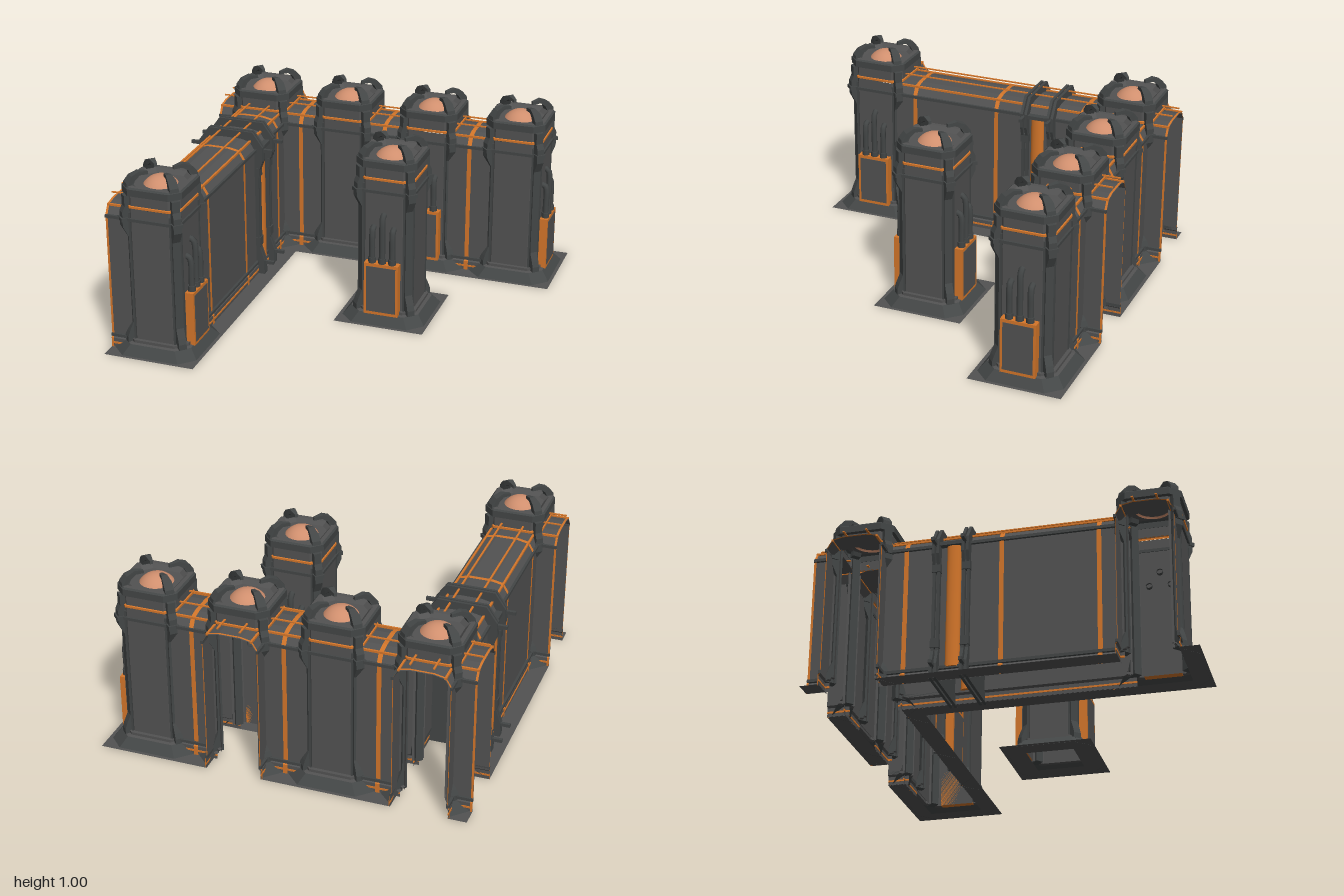
import * as THREE from 'three';

// The modules are hollow and open, so every surface shows from both sides
const mat = (name, color) => {
  const m = new THREE.MeshStandardMaterial({ color, side: THREE.DoubleSide });
  m.name = name;
  return m;
};

export function createModel() {
  const model = new THREE.Group();
  model.name = 'fortressWalls';
  const grey = mat('wall grey', 0x525252);
  const dark = mat('dark metal', 0x434646);
  const orange = mat('orange trim', 0xd4762a);
  const copper = mat('copper dome', 0xd08f6e);

  const add = (parent, name, geo, m, x = 0, y = 0, z = 0) => {
    const mesh = new THREE.Mesh(geo, m);
    mesh.name = name;
    mesh.position.set(x, y, z);
    parent.add(mesh);
    return mesh;
  };
  const box = (parent, name, m, w, h, d, x, y, z) =>
    add(parent, name, new THREE.BoxGeometry(w, h, d), m, x, y, z);
  const fromTriangles = (pos) => {
    const g = new THREE.BufferGeometry();
    g.setAttribute('position', new THREE.Float32BufferAttribute(pos, 3));
    g.computeVertexNormals();
    return g;
  };
  const quad = (out, a, b, c, d) => out.push(...a, ...b, ...c, ...a, ...c, ...d);

  // Stacked chamfered squares [half, chamfer, y]; sides in `open` (0 +x, 1 +z, 2 -x, 3 -z) stay open
  const shell = (levels, open = []) => {
    const loops = levels.map(([h, c, y]) => {
      const pts = [];
      let a = [h, c - h], b = [h, h - c];
      for (let k = 0; k < 4; k++) {
        pts.push([a[0], y, a[1]], [b[0], y, b[1]]);
        a = [-a[1], a[0]];
        b = [-b[1], b[0]];
      }
      return pts;
    });
    const out = [];
    for (let l = 0; l + 1 < loops.length; l++) {
      for (let i = 0; i < 8; i++) {
        if (i % 2 === 0 && open.includes(i / 2)) continue;
        const j = (i + 1) % 8;
        quad(out, loops[l][i], loops[l + 1][i], loops[l + 1][j], loops[l][j]);
      }
    }
    return fromTriangles(out);
  };

  // Mirrored outline swept along z, open at both ends
  const mirrored = (half) => [...half, ...half.map(([u, y]) => [-u, y]).reverse()];
  const sweep = (half, a, b) => {
    const p = mirrored(half), out = [];
    for (let i = 0; i + 1 < p.length; i++) {
      quad(out, [...p[i], a], [...p[i + 1], a], [...p[i + 1], b], [...p[i], b]);
    }
    return fromTriangles(out);
  };
  const extrude = (points, depth) => {
    const s = new THREE.Shape(points.map(([x, y]) => new THREE.Vector2(x, y)));
    return new THREE.ExtrudeGeometry(s, { depth, bevelEnabled: false }).translate(0, 0, -depth / 2);
  };

  const ribGeo = extrude([[0.165, 0.05], [0.225, 0.05], [0.225, 0.08], [0.215, 0.11], [0.193, 0.16], [0.193, 0.65],
    [0.222, 0.71], [0.222, 0.79], [0.208, 0.82], [0.208, 0.88], [0.165, 0.88]], 0.042);
  const clawGeo = extrude([[0.165, 0.9], [0.197, 0.9], [0.192, 0.945], [0.165, 0.978], [0.12, 0.997], [0.07, 0.987],
    [0.068, 0.97], [0.115, 0.974], [0.143, 0.954], [0.155, 0.93]], 0.048);
  // Claws narrow towards their tips
  const cp = clawGeo.attributes.position;
  for (let i = 0; i < cp.count; i++) {
    cp.setZ(i, cp.getZ(i) * THREE.MathUtils.clamp((cp.getX(i) - 0.02) / 0.15, 0.35, 1));
  }
  clawGeo.computeVertexNormals();
  const domeGeo = new THREE.SphereGeometry(0.11, 32, 10, 0, Math.PI * 2, 0, Math.PI / 3).translate(0, 0.843, 0);

  // Power box with three bent pipes, facing +x
  const powerBox = () => {
    const g = new THREE.Group();
    g.name = 'powerBox';
    box(g, 'boxFrame', orange, 0.046, 0.3, 0.19, 0.176, 0.2, 0);
    box(g, 'boxDoor', grey, 0.006, 0.265, 0.162, 0.1985, 0.2, 0);
    [[-0.056, 0.56], [0, 0.635], [0.056, 0.56]].forEach(([z, top]) => {
      const path = new THREE.CatmullRomCurve3([[0.176, 0.33], [0.176, 0.42], [0.176, top - 0.05], [0.168, top - 0.022], [0.14, top - 0.014]]
        .map(([x, y]) => new THREE.Vector3(x, y, z)));
      add(g, 'pipe', new THREE.TubeGeometry(path, 16, 0.017, 8), dark);
      add(g, 'pipeCollar', new THREE.CylinderGeometry(0.022, 0.022, 0.03, 8), dark, 0.176, 0.365, z);
    });
    return g;
  };

  const tower = (x, z, open, boxes) => {
    const g = new THREE.Group();
    g.name = 'tower';
    g.position.set(x, 0, z);
    add(g, 'footing', shell([[0.232, 0.075, 0], [0.19, 0.065, 0.052]], open), dark);
    add(g, 'footingTop', shell([[0.19, 0.065, 0.052], [0.172, 0.06, 0.055], [0.172, 0.06, 0.07], [0.153, 0.05, 0.07]], open), grey);
    add(g, 'body', shell([[0.153, 0.05, 0.05], [0.153, 0.05, 0.81]], open), grey);
    add(g, 'orangeBand', shell([[0.153, 0.05, 0.812], [0.158, 0.05, 0.814], [0.158, 0.05, 0.825], [0.15, 0.05, 0.828]]), orange);
    add(g, 'neck', shell([[0.152, 0.05, 0.825], [0.152, 0.05, 0.88]]), grey);
    add(g, 'cap', shell([[0.15, 0.05, 0.88], [0.167, 0.055, 0.885], [0.167, 0.055, 0.922], [0.158, 0.052, 0.93]]), dark);
    add(g, 'roof', shell([[0.158, 0.052, 0.93], [0.135, 0.045, 0.93], [0.115, 0.04, 0.908], [0, 0, 0.908]]), grey);
    add(g, 'dome', domeGeo, copper);
    for (let k = 0; k < 4; k++) {
      const corner = new THREE.Group();
      corner.name = 'corner';
      corner.rotation.y = Math.PI / 4 + k * Math.PI / 2;
      add(corner, 'cornerRib', ribGeo, dark);
      add(corner, 'claw', clawGeo, dark);
      box(corner, 'clamp', dark, 0.04, 0.02, 0.055, 0.21, 0.75, 0);
      g.add(corner);
      // Side trim on closed faces
      if (open.includes(k)) continue;
      const side = new THREE.Group();
      side.name = 'sideTrim';
      side.rotation.y = -k * Math.PI / 2;
      box(side, 'crossBar', dark, 0.014, 0.016, 0.24, 0.156, 0.75, 0);
      [-1, 1].forEach((s) => box(side, 'edgeStrip', dark, 0.008, 0.72, 0.01, 0.153, 0.43, s * 0.112));
      if (boxes.includes(k)) side.add(powerBox());
      g.add(side);
    }
    model.add(g);
  };
  tower(-0.75, -0.75, [0, 1, 2, 3], []);
  tower(-0.25, -0.75, [0, 2], []);
  tower(0.25, -0.75, [0, 2, 3], [1]);
  tower(0.75, -0.75, [2], [0]);
  tower(-0.75, 0.75, [2, 3], [0]);
  tower(0.25, 0, [], [1, 3]);

  // Wall run between a and b along z (or x), with orange joint bands
  const wallOutline = [[0.152, 0], [0.152, 0.05], [0.142, 0.06], [0.142, 0.755], [0.115, 0.8], [0.06, 0.812]];
  const bandOutline = [[0.157, 0], [0.157, 0.054], [0.147, 0.064], [0.147, 0.757], [0.118, 0.805], [0.06, 0.817]];
  const wall = (alongX, x, z, a, b, bands) => {
    const g = new THREE.Group();
    g.name = 'wall';
    g.position.set(x, 0, z);
    if (alongX) g.rotation.y = Math.PI / 2;
    const mid = (a + b) / 2, len = b - a;
    add(g, 'wallShell', sweep(wallOutline, a, b), grey);
    bands.forEach((s) => add(g, 'jointBand', sweep(bandOutline, Math.max(a, s - 0.012), Math.min(b, s + 0.012)), orange));
    [-1, 1].forEach((s) => {
      box(g, 'baseLine', orange, 0.006, 0.01, len, s * 0.153, 0.025, mid);
      box(g, 'lowerRail', dark, 0.014, 0.016, len, s * 0.149, 0.07, mid);
      box(g, 'upperRail', dark, 0.014, 0.016, len, s * 0.149, 0.75, mid);
      box(g, 'shoulderLine', orange, 0.011, 0.011, len, s * 0.118, 0.802, mid);
      box(g, 'topRail', orange, 0.01, 0.006, len, s * 0.06, 0.846, mid);
    });
    model.add(g);
    return g;
  };
  [-0.5, 0, 0.5].forEach((x) => wall(true, x, -0.75, -0.12, 0.12, [0]));
  // Open stubs at the outer edges
  wall(true, -0.75, -0.75, -0.25, -0.13, [-0.25]);
  wall(true, -0.75, 0.75, -0.25, -0.13, [-0.25]);
  wall(false, -0.75, -0.75, -0.25, -0.13, [-0.25]);
  wall(false, 0.25, -0.75, -0.25, -0.13, [-0.25]);
  const longWall = wall(false, -0.75, 0, -0.62, 0.62, [-0.5, 0, 0.5]);

  // Braced section of the long wall: two double arches with orange columns between
  const archGeo = extrude(mirrored([[0.19, 0], [0.19, 0.08], [0.164, 0.16], [0.164, 0.62], [0.19, 0.69], [0.19, 0.77], [0.13, 0.855]]), 0.015);
  [-0.335, -0.18].forEach((z) => {
    [-0.012, 0.012].forEach((dz) => add(longWall, 'arch', archGeo, dark, 0, 0, z + dz));
    [0.07, 0.75].forEach((y) => box(longWall, 'archBar', dark, 0.48, 0.018, 0.018, 0, y, z));
    [-1, 1].forEach((s) => [0.2, 0.62].forEach((y) =>
      box(longWall, 'archClamp', dark, 0.03, 0.05, 0.045, s * 0.155, y, z)));
  });
  [-1, 1].forEach((s) => {
    const column = add(longWall, 'braceColumn', new THREE.CylinderGeometry(0.038, 0.038, 0.67, 16), orange, s * 0.142, 0.405, -0.248);
    column.scale.x = 0.6;
    box(longWall, 'braceStrut', dark, 0.05, 0.02, 0.14, s * 0.15, 0.75, -0.257);
  });

  // Floor strips [x0, x1, z0, z1] around the hollow walls and towers
  [[-0.6, 1, -0.6, -0.5], [0.9, 1, -1, -0.6], [0.4, 0.9, -1, -0.9], [-0.6, 0.1, -1, -0.9],
    [-1, -0.9, -1, -0.9], [-0.6, -0.5, -0.5, 1], [-1, -0.9, -0.6, 0.6], [-1, -0.6, 0.9, 1],
    [0, 0.12, -0.25, 0.25], [0.38, 0.5, -0.25, 0.25], [0.12, 0.38, -0.25, -0.13], [0.12, 0.38, 0.13, 0.25],
  ].forEach(([x0, x1, z0, z1]) => {
    const geo = new THREE.PlaneGeometry(x1 - x0, z1 - z0).rotateX(-Math.PI / 2);
    add(model, 'floor', geo, grey, (x0 + x1) / 2, 0.001, (z0 + z1) / 2);
  });
  return model;
}
